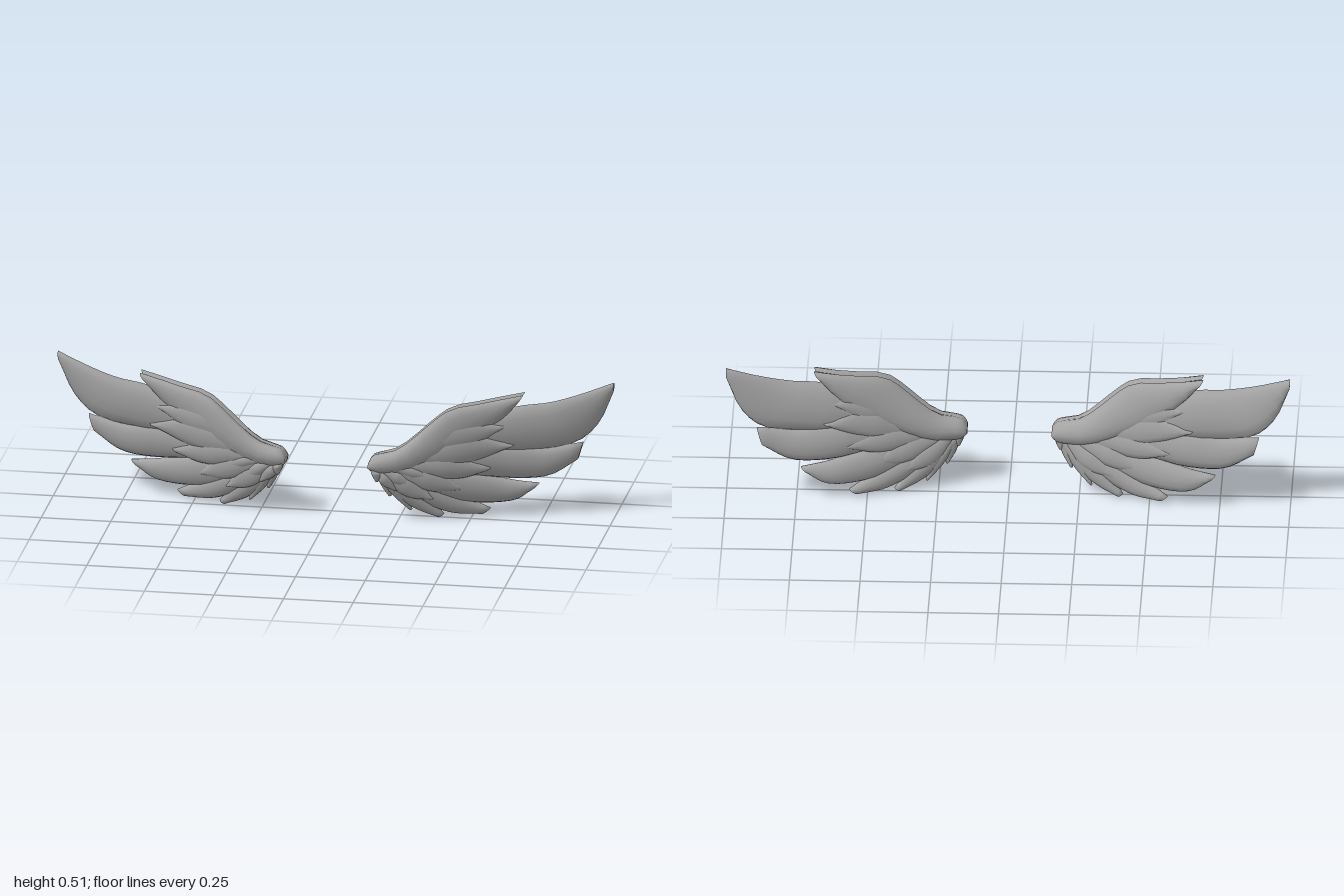
import * as THREE from 'three';

const grey = new THREE.MeshStandardMaterial({ color: 0xa4a4a4 });
grey.name = 'feather grey';

// sweep of the wing seen from above: [x, z]; the wing also leans forward with height
const sweep = [[0.1, 0.088], [0.2, 0.079], [0.4, 0.033], [0.6, -0.03], [0.8, -0.07], [1.01, -0.132]];
function wingDepth(x, y) {
  let i = 0;
  while (i < sweep.length - 2 && x > sweep[i + 1][0]) i++;
  const [x0, z0] = sweep[i], [x1, z1] = sweep[i + 1];
  return z0 + ((x - x0) / (x1 - x0)) * (z1 - z0) + 0.16 * (y - 0.25);
}

const curve = (pts) => new THREE.CatmullRomCurve3(pts.map(([x, y]) => new THREE.Vector3(x, y, 0)), false, 'centripetal');

// lofted feather between an upper and a lower edge, with lens cross-sections;
// the depth offset fans out from the root towards the tip
function feather(name, side, [upper, lower, thick], offset) {
  const top = curve(upper), bottom = curve(lower);
  const rings = 14, sides = 12, pos = [], idx = [];
  const put = (p, dz) => pos.push(side * p.x, p.y, wingDepth(p.x, p.y) + dz);
  const shift = (t) => offset * (0.3 + 0.7 * Math.min(1, t * 2));
  for (let i = 0; i <= rings; i++) {
    const t = i / rings;
    const a = top.getPoint(t), b = bottom.getPoint(t);
    const h = 0.5 * thick * (1 - 0.6 * t * t) * (0.78 + 0.22 * Math.min(1, t * 4));
    for (let j = 0; j < sides; j++) {
      const ang = (j / sides) * Math.PI * 2;
      const p = b.clone().lerp(a, 0.5 + 0.5 * Math.cos(ang));
      put(p, shift(t) + Math.sin(ang) * h);
    }
  }
  const tri = (a, b, c) => (side > 0 ? idx.push(a, b, c) : idx.push(a, c, b));
  for (let i = 0; i < rings; i++) {
    for (let j = 0; j < sides; j++) {
      const k = (j + 1) % sides;
      const a = i * sides + j, b = i * sides + k, c = a + sides, d = b + sides;
      tri(a, b, c);
      tri(b, d, c);
    }
  }
  // end caps
  for (const t of [0, 1]) {
    const n = pos.length / 3, r = t * rings * sides;
    put(top.getPoint(t).lerp(bottom.getPoint(t), 0.5), shift(t));
    for (let j = 0; j < sides; j++) {
      const a = r + j, b = r + ((j + 1) % sides);
      t ? tri(a, b, n) : tri(b, a, n);
    }
  }
  const g = new THREE.BufferGeometry();
  g.setAttribute('position', new THREE.Float32BufferAttribute(pos, 3));
  g.setIndex(idx);
  g.computeVertexNormals();
  const m = new THREE.Mesh(g, grey);
  m.name = name;
  return m;
}

// long flight feathers: [upper edge, lower edge, thickness]
const flight = [
  [[[0.35, 0.34], [0.55, 0.40], [0.68, 0.43], [0.77, 0.44], [0.87, 0.465], [1.0, 0.51]],
    [[0.35, 0.24], [0.55, 0.245], [0.72, 0.255], [0.87, 0.285], [0.945, 0.355], [0.998, 0.475]], 0.074],
  [[[0.3, 0.27], [0.5, 0.285], [0.65, 0.28], [0.76, 0.265], [0.89, 0.283]],
    [[0.3, 0.18], [0.48, 0.165], [0.64, 0.145], [0.77, 0.155], [0.87, 0.215]], 0.074],
  [[[0.26, 0.23], [0.42, 0.2], [0.55, 0.165], [0.64, 0.14], [0.735, 0.125]],
    [[0.26, 0.14], [0.42, 0.075], [0.54, 0.052], [0.65, 0.06], [0.71, 0.1]], 0.074],
  [[[0.24, 0.2], [0.36, 0.15], [0.47, 0.085], [0.565, 0.03]],
    [[0.23, 0.14], [0.33, 0.065], [0.43, 0.018], [0.535, 0.008]], 0.07],
  [[[0.21, 0.21], [0.3, 0.14], [0.36, 0.08], [0.405, 0.015]],
    [[0.2, 0.16], [0.25, 0.08], [0.31, 0.035], [0.385, 0.002]], 0.065],
  [[[0.2, 0.21], [0.25, 0.15], [0.28, 0.1], [0.295, 0.035]],
    [[0.18, 0.18], [0.21, 0.12], [0.235, 0.085], [0.285, 0.035]], 0.06],
  [[[0.2, 0.23], [0.22, 0.18], [0.23, 0.14], [0.225, 0.09]],
    [[0.16, 0.21], [0.175, 0.17], [0.19, 0.13], [0.215, 0.09]], 0.05],
];

// leading edge and shoulder, one layer on each face
const shoulder = [
  [[0.15, 0.225], [0.165, 0.25], [0.195, 0.26], [0.25, 0.275], [0.32, 0.33], [0.385, 0.39], [0.44, 0.428], [0.55, 0.448], [0.69, 0.475]],
  [[0.15, 0.2], [0.165, 0.185], [0.195, 0.18], [0.27, 0.185], [0.36, 0.215], [0.45, 0.26], [0.53, 0.315], [0.6, 0.365], [0.67, 0.445]],
  0.082,
];

// covert feathers, layered on the front and the back
const coverts = [
  [[[0.25, 0.26], [0.4, 0.37], [0.52, 0.38], [0.63, 0.36]], [[0.25, 0.22], [0.4, 0.25], [0.52, 0.285], [0.61, 0.345]], 0.056],
  [[[0.24, 0.25], [0.4, 0.32], [0.52, 0.33], [0.655, 0.285]], [[0.24, 0.2], [0.4, 0.2], [0.52, 0.225], [0.64, 0.275]], 0.058],
  [[[0.22, 0.24], [0.36, 0.26], [0.47, 0.245], [0.575, 0.2]], [[0.22, 0.19], [0.36, 0.165], [0.47, 0.16], [0.56, 0.185]], 0.054],
  [[[0.2, 0.23], [0.32, 0.22], [0.41, 0.185], [0.475, 0.125]], [[0.2, 0.185], [0.3, 0.135], [0.38, 0.11], [0.465, 0.115]], 0.048],
  [[[0.19, 0.23], [0.27, 0.19], [0.33, 0.15], [0.375, 0.085]], [[0.185, 0.19], [0.23, 0.13], [0.29, 0.09], [0.365, 0.08]], 0.042],
];

// short feathers beside the root
const small = [
  [[[0.18, 0.225], [0.21, 0.195], [0.24, 0.165], [0.25, 0.12]], [[0.16, 0.2], [0.18, 0.165], [0.2, 0.14], [0.24, 0.12]], 0.04],
  [[[0.18, 0.22], [0.19, 0.2], [0.2, 0.18], [0.185, 0.155]], [[0.152, 0.215], [0.158, 0.195], [0.165, 0.175], [0.175, 0.155]], 0.045],
  [[[0.2, 0.23], [0.28, 0.225], [0.35, 0.2], [0.4, 0.17]], [[0.2, 0.195], [0.27, 0.175], [0.33, 0.16], [0.39, 0.16]], 0.045],
  [[[0.18, 0.225], [0.24, 0.205], [0.28, 0.18], [0.31, 0.135]], [[0.18, 0.195], [0.22, 0.16], [0.26, 0.135], [0.3, 0.13]], 0.045],
];

function wing(side) {
  const g = new THREE.Group();
  g.name = side > 0 ? 'leftWing' : 'rightWing';
  const addRow = (name, row, offset) => row.forEach((f, i) => g.add(feather(name + (i + 1), side, f, offset)));
  addRow('flightFeather', flight, -0.003);
  for (const [label, face] of [['front', 1], ['back', -1]]) {
    g.add(feather(label + 'Shoulder', side, shoulder, face * 0.019 - 0.004));
    addRow(label + 'Covert', coverts, face * 0.024);
  }
  // the back of the root is smoother than the front
  addRow('frontSmallFeather', small, 0.026);
  addRow('backSmallFeather', small.slice(0, 2), -0.01);
  // the two wings sit slightly staggered in depth
  g.position.z = side * 0.009;
  return g;
}

export function createModel() {
  const model = new THREE.Group();
  model.name = 'wings';
  model.add(wing(1), wing(-1));
  return model;
}
